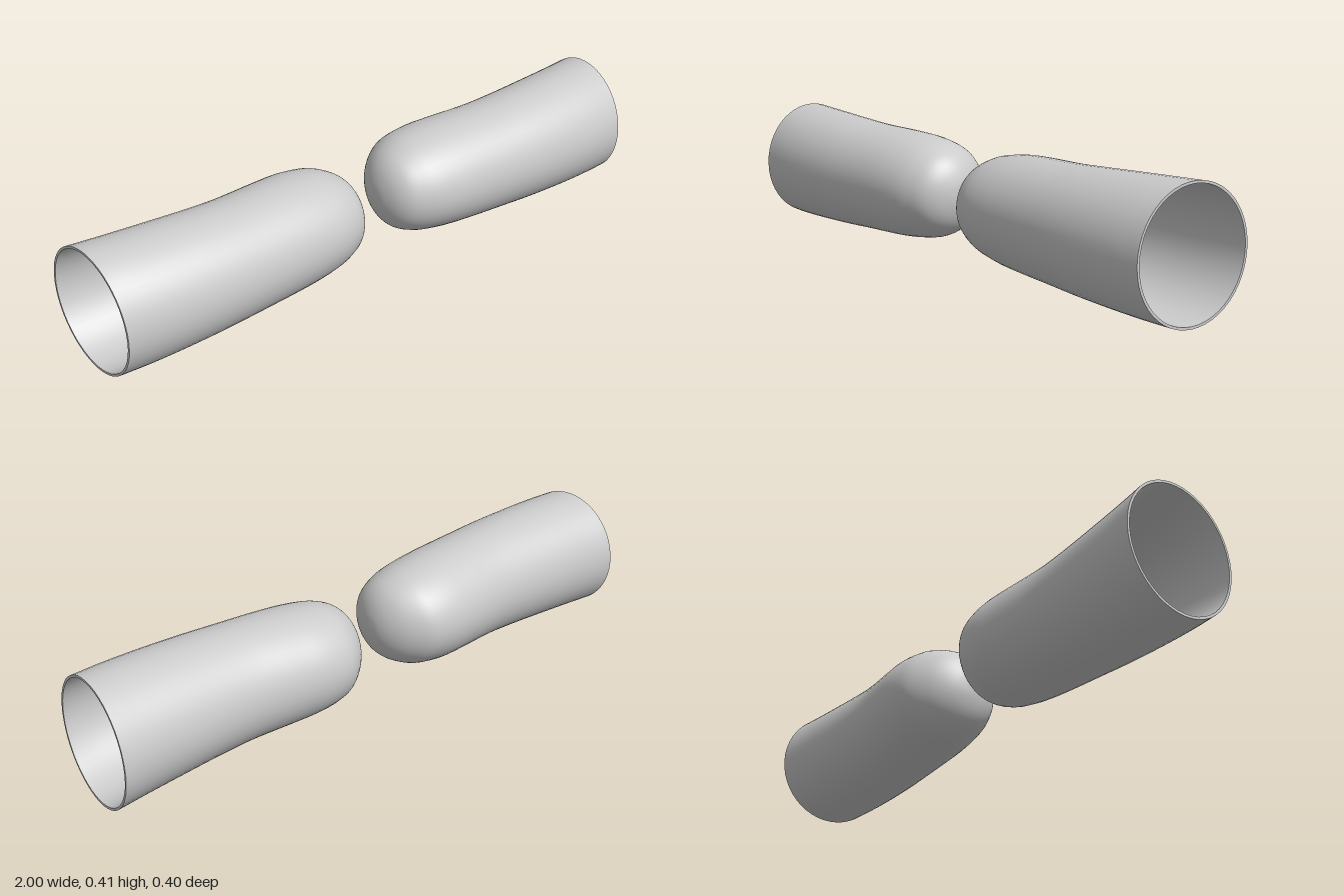
import * as THREE from 'three';

const CENTER_Y = 0.206, SIDES = 48, RINGS = 64, WALL = 0.008;

// Stations from the closed tip to the open end: x, half height, back z, front z
const stations = [
  [0.045, 0, 0, 0], [0.05, 0.045, -0.043, 0.04], [0.068, 0.092, -0.088, 0.088],
  [0.1, 0.129, -0.132, 0.126], [0.15, 0.155, -0.173, 0.152], [0.2, 0.167, -0.19, 0.167],
  [0.27, 0.176, -0.195, 0.178], [0.36, 0.181, -0.187, 0.186], [0.5, 0.185, -0.174, 0.195],
  [0.62, 0.191, -0.174, 0.201], [0.75, 0.197, -0.181, 0.203], [0.88, 0.202, -0.19, 0.2],
  [0.9855, 0.205, -0.2, 0.192],
];
const spline = (col) => new THREE.CatmullRomCurve3(
  stations.map((s) => new THREE.Vector3(s[0], s[col], 0)), false, 'catmullrom', 0.5);
const height = spline(1), back = spline(2), front = spline(3);

// One oval ring at parameter t, shrunk by inset; the open end is cut on a slant
function ring(t, inset, side) {
  const h = height.getPoint(t), b = back.getPoint(t).y, f = front.getPoint(t).y;
  const mid = (b + f) / 2;
  const ry = Math.max(h.y - inset, 0), rz = Math.max((f - b) / 2 - inset, 0);
  const tipShift = inset * Math.max(0, 1 - t * 3);
  const slant = THREE.MathUtils.smoothstep(h.x, 0.5, 0.9855) * 0.072;
  const out = [];
  for (let i = 0; i < SIDES; i++) {
    const a = (i / SIDES) * Math.PI * 2;
    const z = mid + rz * Math.cos(a);
    out.push(side * (h.x + tipShift - z * slant), CENTER_Y + ry * Math.sin(a), z);
  }
  return out;
}

// Skin a list of rings
function loft(rings, flip) {
  const index = [];
  for (let r = 0; r < rings.length - 1; r++) {
    for (let i = 0; i < SIDES; i++) {
      const j = (i + 1) % SIDES;
      const a = r * SIDES + i, b = r * SIDES + j, c = a + SIDES, d = b + SIDES;
      if (flip) index.push(a, b, c, b, d, c);
      else index.push(a, c, b, b, c, d);
    }
  }
  const geo = new THREE.BufferGeometry();
  geo.setAttribute('position', new THREE.Float32BufferAttribute(rings.flat(), 3));
  geo.setIndex(index);
  geo.computeVertexNormals();
  return geo;
}

export function createModel() {
  const model = new THREE.Group();
  model.name = 'capPair';
  const material = new THREE.MeshStandardMaterial({ color: 0xcccccc });

  for (const side of [1, -1]) {
    const cap = new THREE.Group();
    cap.name = side > 0 ? 'leftCap' : 'rightCap';
    const mirrored = side < 0;
    const add = (name, rings, flip) => {
      const mesh = new THREE.Mesh(loft(rings, flip), material);
      mesh.name = name;
      cap.add(mesh);
    };
    const shell = (inset) => Array.from({ length: RINGS + 1 }, (_, k) => ring(k / RINGS, inset, side));
    add('outerShell', shell(0), mirrored);
    add('innerLining', shell(WALL), !mirrored);
    // Thin flat lip joining the two walls at the open end
    add('openRim', [ring(1, 0, side), ring(1, WALL, side)], mirrored);
    model.add(cap);
  }
  return model;
}
